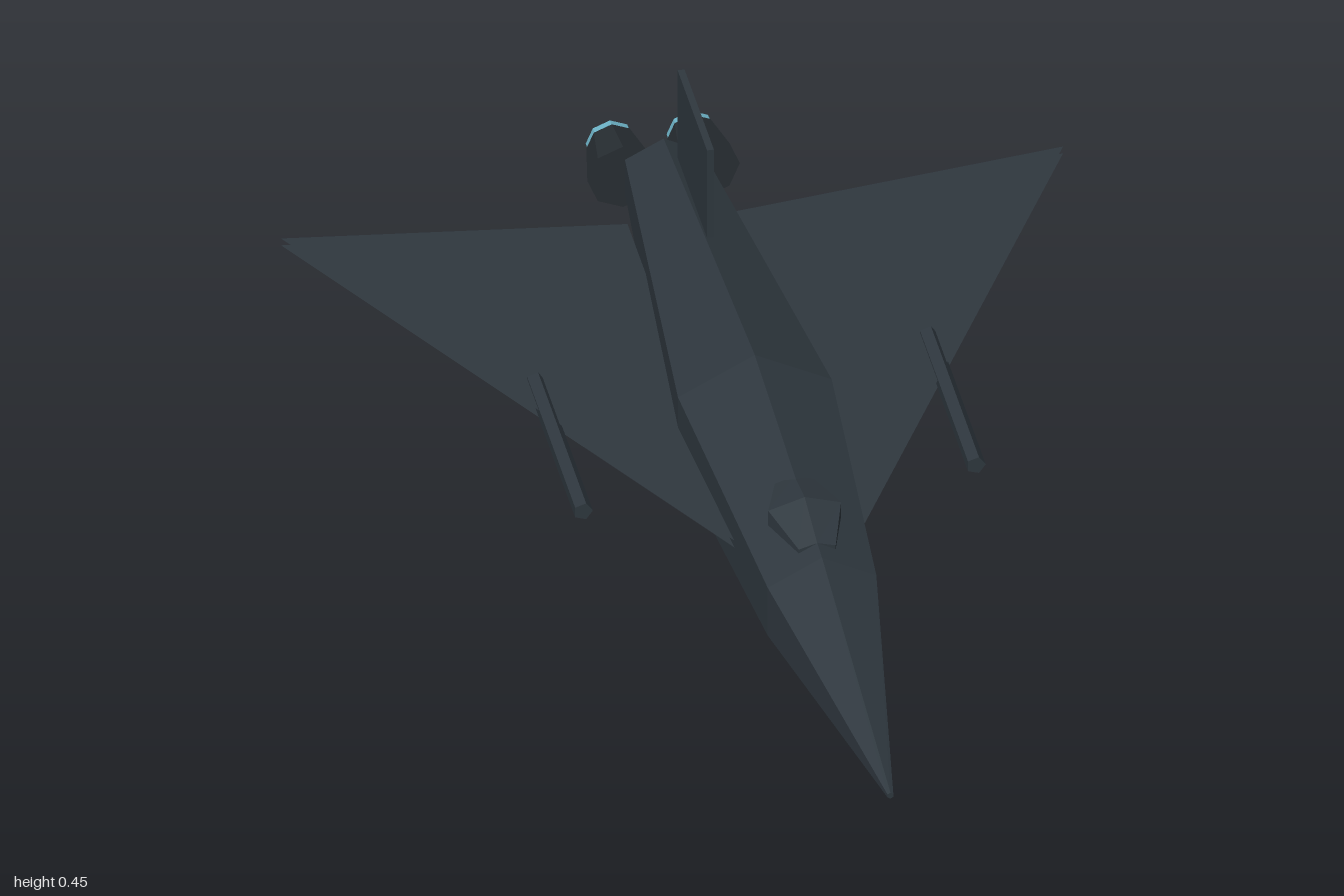
import * as THREE from 'three';

// Faceted skin through a row of equal-sized rings, front (+z) to back, capped at both ends
function loft(rings) {
  const pos = [];
  const tri = (...pts) => pts.forEach((p) => pos.push(...p));
  const n = rings[0].length;
  const centre = (r) => [0, 1, 2].map((k) => r.reduce((s, p) => s + p[k], 0) / n);
  const first = rings[0], last = rings[rings.length - 1];
  const front = centre(first), back = centre(last);
  for (let j = 0; j < n; j++) {
    const k = (j + 1) % n;
    for (let i = 0; i < rings.length - 1; i++) {
      const a = rings[i], b = rings[i + 1];
      tri(a[j], b[j], a[k]);
      tri(a[k], b[j], b[k]);
    }
    tri(front, first[j], first[k]);
    tri(back, last[k], last[j]);
  }
  const g = new THREE.BufferGeometry();
  g.setAttribute('position', new THREE.Float32BufferAttribute(pos, 3));
  g.computeVertexNormals();
  return g;
}

// Six-sided cross-section with a point at top and bottom
function hexRing(z, y, halfWidth, halfHeight) {
  return Array.from({ length: 6 }, (_, i) => {
    const a = Math.PI / 6 + (i * Math.PI) / 3;
    return [(Math.cos(a) / Math.cos(Math.PI / 6)) * halfWidth, y + Math.sin(a) * halfHeight, z];
  });
}

// Faceted cylinder lying along z; rBack faces -z
function rod(rFront, rBack, length, sides) {
  const g = new THREE.CylinderGeometry(rFront, rBack, length, sides).rotateX(Math.PI / 2).toNonIndexed();
  g.computeVertexNormals();
  return g;
}

export function createModel() {
  const model = new THREE.Group();
  model.name = 'deltaJet';
  const hull = new THREE.MeshStandardMaterial({ color: 0x2f383f, side: THREE.DoubleSide });
  hull.name = 'slate hull';
  const dark = new THREE.MeshStandardMaterial({ color: 0x282e33 });
  dark.name = 'dark engine metal';
  const glow = new THREE.MeshStandardMaterial({ color: 0x6cb2c6 });
  glow.name = 'blue exhaust glow';

  const add = (name, geometry, material, x = 0, y = 0, z = 0) => {
    const mesh = new THREE.Mesh(geometry, material);
    mesh.name = name;
    mesh.position.set(x, y, z);
    model.add(mesh);
    return mesh;
  };

  // Hexagonal fuselage: nose, shoulder, widest point, tail
  add('fuselage', loft([
    hexRing(1, 0.131, 0.005, 0.006),
    hexRing(0.43, 0.139, 0.094, 0.098),
    hexRing(-0.13, 0.14, 0.133, 0.137),
    hexRing(-0.89, 0.142, 0.067, 0.069),
  ]), hull);

  // Low canopy over the shoulder
  add('canopy', loft([
    hexRing(0.39, 0.222, 0.032, 0.018),
    hexRing(0.285, 0.225, 0.063, 0.039),
    hexRing(0.2, 0.228, 0.034, 0.022),
  ]), hull);

  // Upright tail fin
  add('tailFin', new THREE.BoxGeometry(0.012, 0.18, 0.245), hull, 0, 0.36, -0.622);

  for (const side of [1, -1]) {
    const label = side > 0 ? 'left' : 'right';

    // Delta wing: an upper and a lower skin
    for (const face of [1, -1]) {
      const outline = new THREE.Shape([[0.093, 0.25], [0.677, -0.82], [0.093, -0.743]]
        .map(([x, z]) => new THREE.Vector2(side * x, -face * z)));
      const skin = new THREE.ShapeGeometry(outline).rotateX((-face * Math.PI) / 2);
      add(label + (face > 0 ? 'WingUpper' : 'WingLower'), skin, hull, 0, 0.14 + face * 0.007, 0);
    }

    // Five-sided gun barrel on the leading edge
    add(label + 'Gun', rod(0.017, 0.017, 0.4, 5), hull, side * 0.34, 0.141, -0.124)
      .rotation.z = Math.PI / 2;

    // Engine nozzle narrowing to a glowing exhaust
    add(label + 'Engine', rod(0.062, 0.044, 0.095, 8), dark, side * 0.07, 0.142, -0.9375);
    add(label + 'Exhaust', rod(0.042, 0.042, 0.015, 8), glow, side * 0.07, 0.142, -0.9925);
  }
  return model;
}
